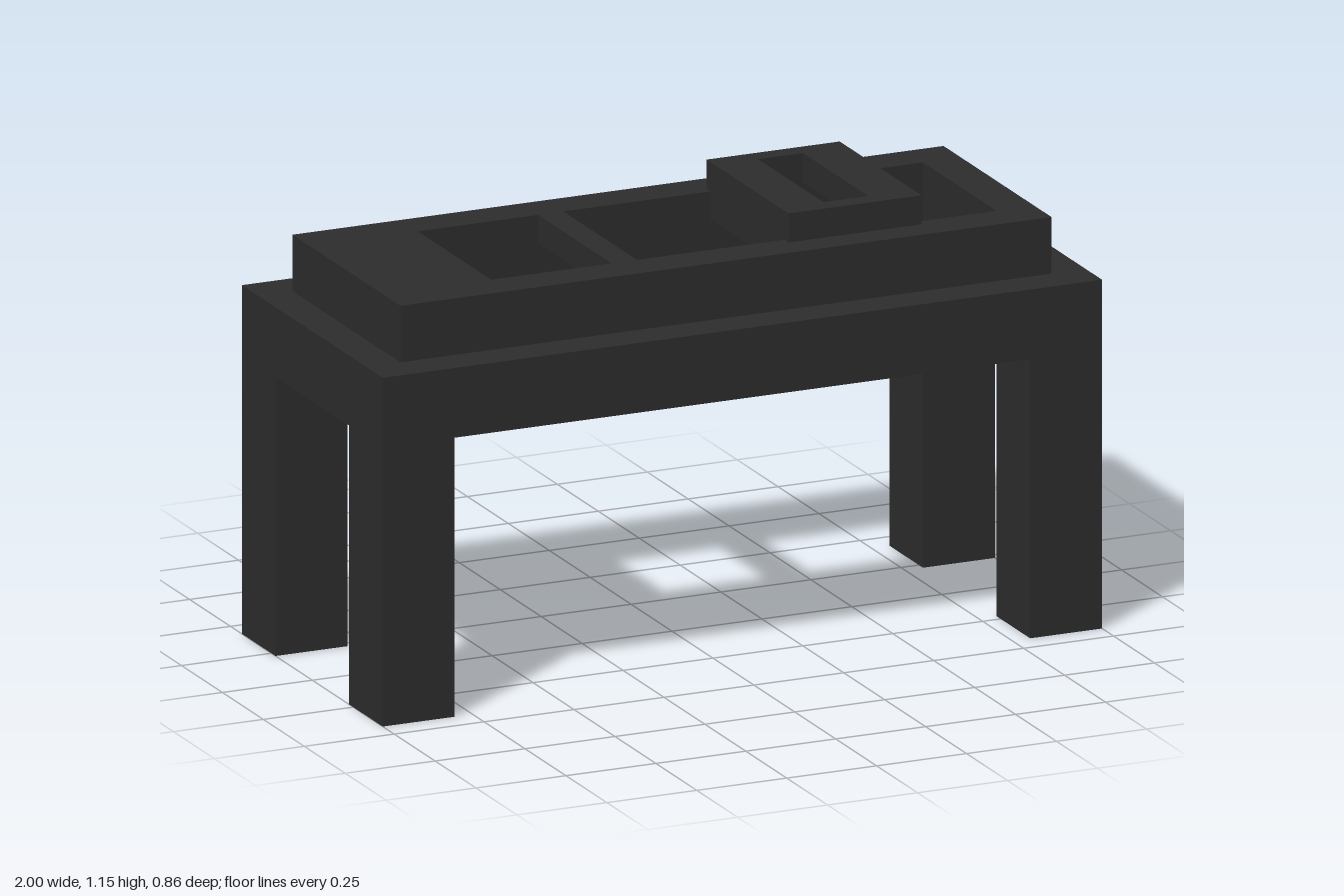
import * as THREE from 'three';

const charcoal = new THREE.MeshStandardMaterial({ color: 0x2d2d2d });
charcoal.name = 'charcoal';

// Path around a rectangle given by its x and z limits
function rectangle(target, x0, x1, z) {
  target.moveTo(x0, -z);
  target.lineTo(x1, -z);
  target.lineTo(x1, z);
  target.lineTo(x0, z);
  target.closePath();
  return target;
}

// Horizontal slab from y0 to y1 with one rectangular opening
function frame(name, outer, hole, y0, y1) {
  const shape = rectangle(new THREE.Shape(), ...outer);
  shape.holes.push(rectangle(new THREE.Path(), ...hole));
  const geometry = new THREE.ExtrudeGeometry(shape, { depth: y1 - y0, bevelEnabled: false });
  geometry.rotateX(-Math.PI / 2);
  geometry.translate(0, y0, 0);
  const mesh = new THREE.Mesh(geometry, charcoal);
  mesh.name = name;
  return mesh;
}

// Box given by its limits on each axis
function block(name, x0, x1, y0, y1, z0, z1) {
  const mesh = new THREE.Mesh(new THREE.BoxGeometry(x1 - x0, y1 - y0, z1 - z0), charcoal);
  mesh.position.set((x0 + x1) / 2, (y0 + y1) / 2, (z0 + z1) / 2);
  mesh.name = name;
  return mesh;
}

export function createModel() {
  const model = new THREE.Group();
  model.name = 'steppedFrameStand';
  const opening = [-0.605, 0.8, 0.225];

  // Four square-cut legs, one at each corner
  const legs = new THREE.Group();
  legs.name = 'legs';
  for (const x of [-0.9, 0.9]) {
    for (const z of [-0.3275, 0.3275]) {
      legs.add(block('leg', x - 0.1, x + 0.1, 0, 0.74, z - 0.1025, z + 0.1025));
    }
  }
  model.add(legs);

  // Stepped top: three stacked frames
  model.add(frame('baseFrame', [-1, 1, 0.43], opening, 0.74, 0.925));
  model.add(frame('upperFrame', [-0.905, 0.905, 0.33], opening, 0.925, 1.075));
  model.add(frame('raisedCollar', [0.21, 0.58, 0.25], [0.33, 0.455, 0.2], 1.075, 1.152));

  // Thin bars bridging the opening, flush with the upper frame
  for (const x of [-0.27, 0.21]) {
    model.add(block('crossbar', x, x + 0.07, 1.0, 1.075, -0.225, 0.225));
  }
  return model;
}
